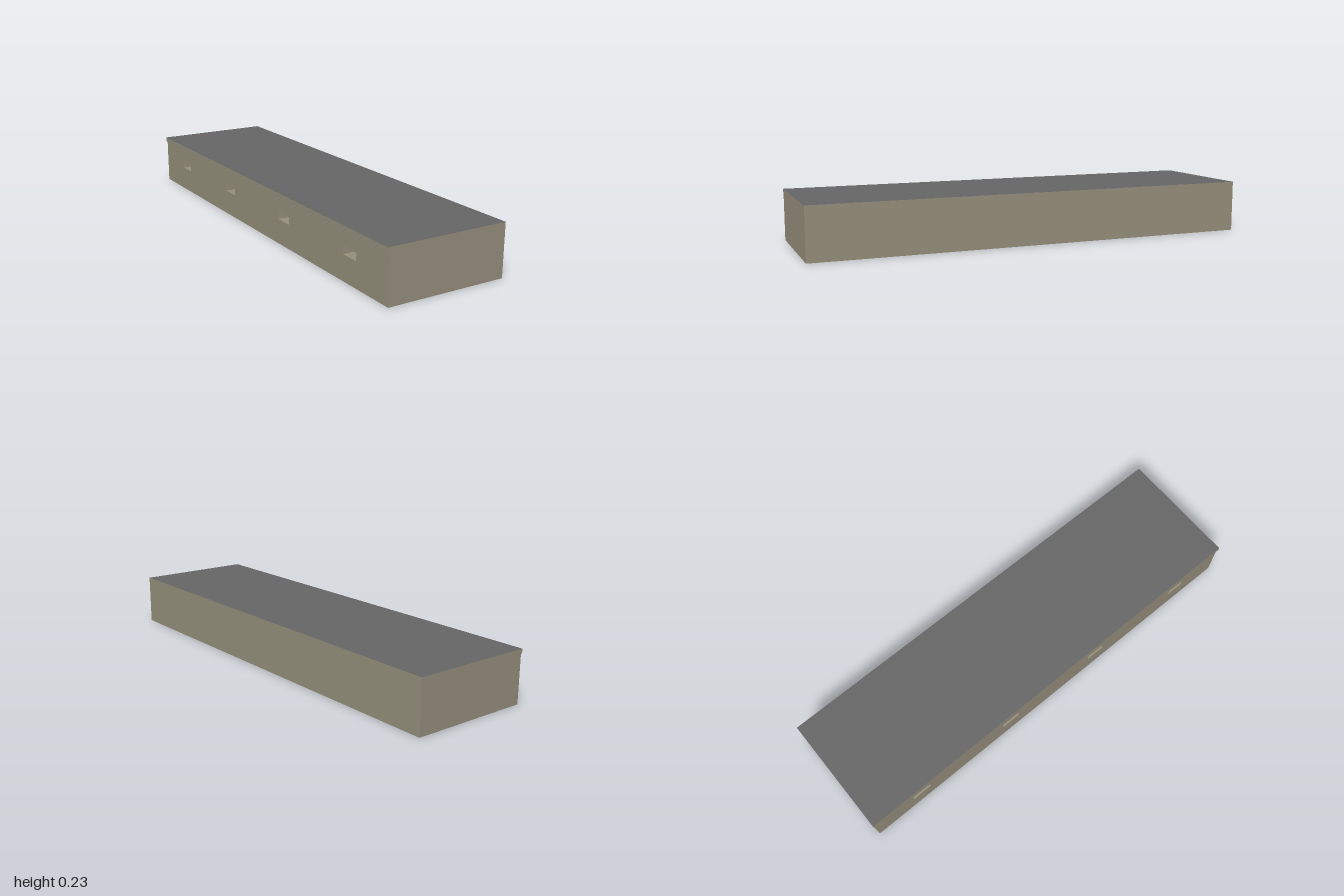
import * as THREE from 'three';

export function createModel() {
  const model = new THREE.Group();
  const stone = new THREE.MeshStandardMaterial({ color: 0x958f7b });
  stone.name = 'tan concrete';
  const paving = new THREE.MeshStandardMaterial({ color: 0x666666 });
  paving.name = 'grey paving';

  const LIP_Y = 0.21, TOP = 0.23, RIGHT = 0.275, WALL = -0.268, DEPTH = 0.05;

  const add = (name, geometry, material) => {
    const mesh = new THREE.Mesh(geometry, material);
    mesh.name = name;
    model.add(mesh);
    return mesh;
  };

  // Solid body behind the recessed side wall
  const inner = WALL + DEPTH;
  add('body', new THREE.BoxGeometry(RIGHT - inner, LIP_Y, 2), stone)
    .position.set((RIGHT + inner) / 2, LIP_Y / 2, 0);

  // Side wall with four rectangular recesses
  const wall = new THREE.Shape([[-1, 0], [1, 0], [1, LIP_Y], [-1, LIP_Y]]
    .map(([z, y]) => new THREE.Vector2(z, y)));
  for (const z of [-0.75, -0.25, 0.25, 0.75]) {
    wall.holes.push(new THREE.Path([[-0.045, 0.11], [-0.045, 0.15], [0.045, 0.15], [0.045, 0.11]]
      .map(([dz, y]) => new THREE.Vector2(z + dz, y))));
  }
  const panel = add('recessedSideWall',
    new THREE.ExtrudeGeometry(wall, { depth: DEPTH, bevelEnabled: false }), stone);
  panel.rotation.y = -Math.PI / 2;
  panel.position.x = inner;

  // Overhanging slab with a paved top face
  add('topSlab', new THREE.BoxGeometry(RIGHT * 2, TOP - LIP_Y, 2),
    [stone, stone, paving, stone, stone, stone]).position.y = (TOP + LIP_Y) / 2;

  return model;
}
